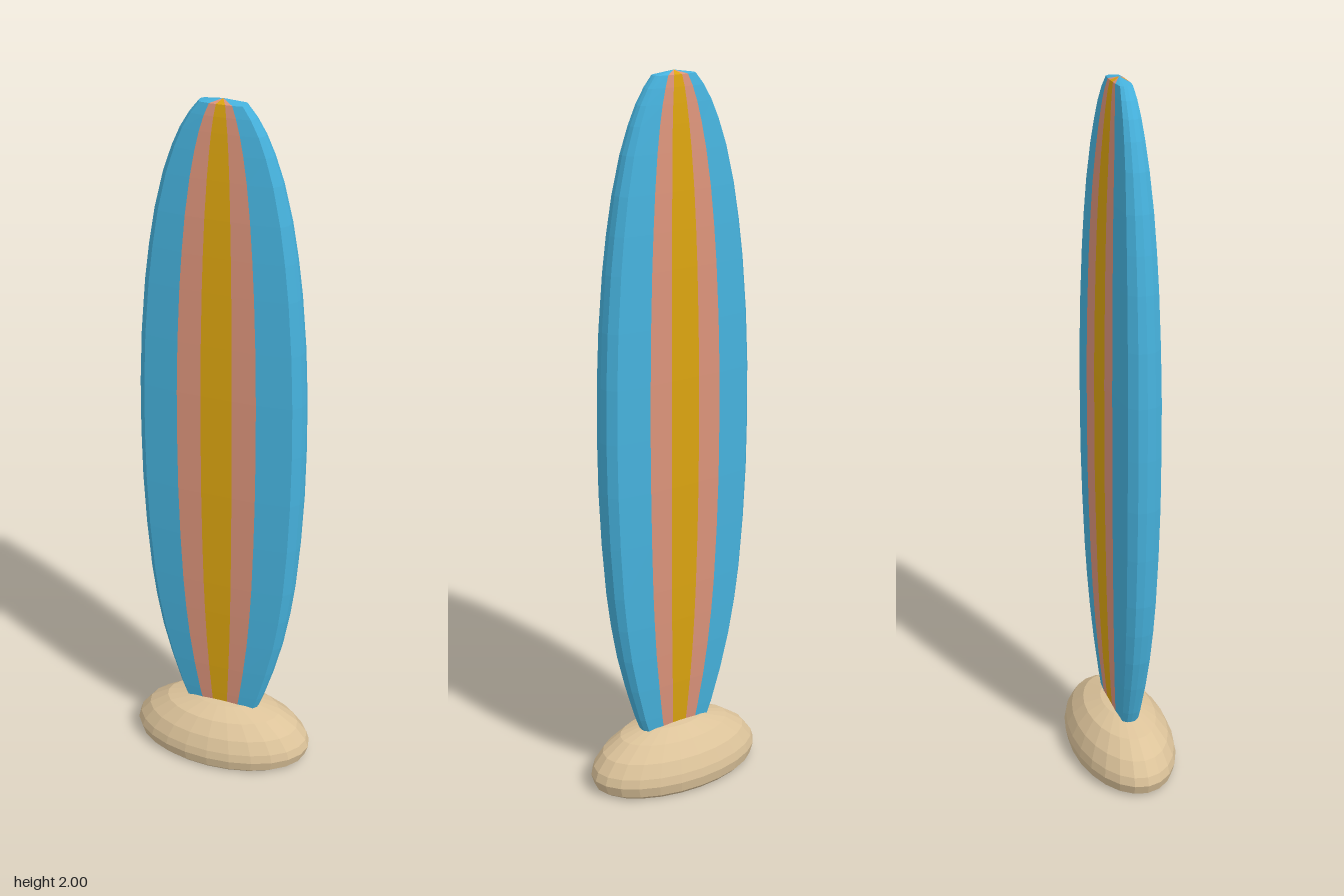
import * as THREE from 'three';

const blue = new THREE.MeshStandardMaterial({ color: 0x46b2dd });
blue.name = 'board blue';
const salmon = new THREE.MeshStandardMaterial({ color: 0xdb937a });
salmon.name = 'salmon stripe';
const yellow = new THREE.MeshStandardMaterial({ color: 0xdba410 });
yellow.name = 'golden stripe';
const sand = new THREE.MeshStandardMaterial({ color: 0xdcc39a });
sand.name = 'sand';

// Board outline from bottom to top: height, half width, half thickness
const outline = [
  [0.08, 0.08, 0.022], [0.2, 0.125, 0.032], [0.3, 0.155, 0.039], [0.4, 0.18, 0.044],
  [0.5, 0.198, 0.048], [0.6, 0.211, 0.051], [0.75, 0.223, 0.054], [0.9, 0.23, 0.056],
  [1.05, 0.232, 0.056], [1.2, 0.23, 0.056], [1.35, 0.223, 0.054], [1.5, 0.21, 0.051],
  [1.6, 0.197, 0.048], [1.7, 0.18, 0.044], [1.8, 0.156, 0.038], [1.87, 0.132, 0.033],
  [1.92, 0.11, 0.029], [1.96, 0.086, 0.025], [1.99, 0.062, 0.02],
];

// Unit cross-section: a quarter, mirrored to the front half and then to the back
const quarter = [[1, 0], [0.985, 0.42], [0.9, 0.82], [0.48, 1], [0.19, 1]];
const frontHalf = [...quarter, ...quarter.map(([x, z]) => [-x, z]).reverse()];
const section = [...frontHalf, ...frontHalf.slice(1, -1).map(([x, z]) => [x, -z]).reverse()];

// Lofts the board and sorts its faces into one mesh per colour
function makeBoard() {
  const board = new THREE.Group();
  board.name = 'surfboard';
  const faces = { boardBody: [], outerStripes: [], centreStripe: [] };
  const count = section.length;
  const point = (i, j) => {
    const [y, w, d] = outline[i];
    const [x, z] = section[j % count];
    return [x * w, y, z * d];
  };
  for (let j = 0; j < count; j++) {
    const middle = Math.abs(section[j][0] + section[(j + 1) % count][0]) / 2;
    const flat = Math.abs(section[j][1]) === 1 && Math.abs(section[(j + 1) % count][1]) === 1;
    const list = !flat ? faces.boardBody : middle > 0.1 ? faces.outerStripes : faces.centreStripe;
    for (let i = 0; i < outline.length - 1; i++) {
      const a = point(i, j), b = point(i, j + 1), c = point(i + 1, j + 1), d = point(i + 1, j);
      list.push(...a, ...d, ...b, ...b, ...d, ...c);
    }
    // Nose cap and hidden tail cap
    const top = outline.length - 1;
    list.push(0, 2, 0, ...point(top, j + 1), ...point(top, j));
    list.push(0, 0.08, 0, ...point(0, j), ...point(0, j + 1));
  }
  const materials = { boardBody: blue, outerStripes: salmon, centreStripe: yellow };
  for (const name in faces) {
    const geometry = new THREE.BufferGeometry();
    geometry.setAttribute('position', new THREE.Float32BufferAttribute(faces[name], 3));
    geometry.computeVertexNormals();
    const mesh = new THREE.Mesh(geometry, materials[name]);
    mesh.name = name;
    board.add(mesh);
  }
  return board;
}

// Oval faceted mound that holds the board
function makeMound() {
  const profile = [
    [0, 0.005], [0.24, 0.005], [0.255, 0.015], [0.265, 0.045], [0.257, 0.07],
    [0.228, 0.107], [0.172, 0.145], [0.09, 0.168], [0, 0.176],
  ].map(([r, y]) => new THREE.Vector2(r, y));
  const geometry = new THREE.LatheGeometry(profile, 24, Math.PI / 2).toNonIndexed();
  geometry.scale(1, 1, 0.56);
  geometry.computeVertexNormals();
  const mound = new THREE.Mesh(geometry, sand);
  mound.name = 'sandMound';
  return mound;
}

export function createModel() {
  const model = new THREE.Group();
  model.name = 'surfboardInSand';
  model.add(makeBoard(), makeMound());
  return model;
}
